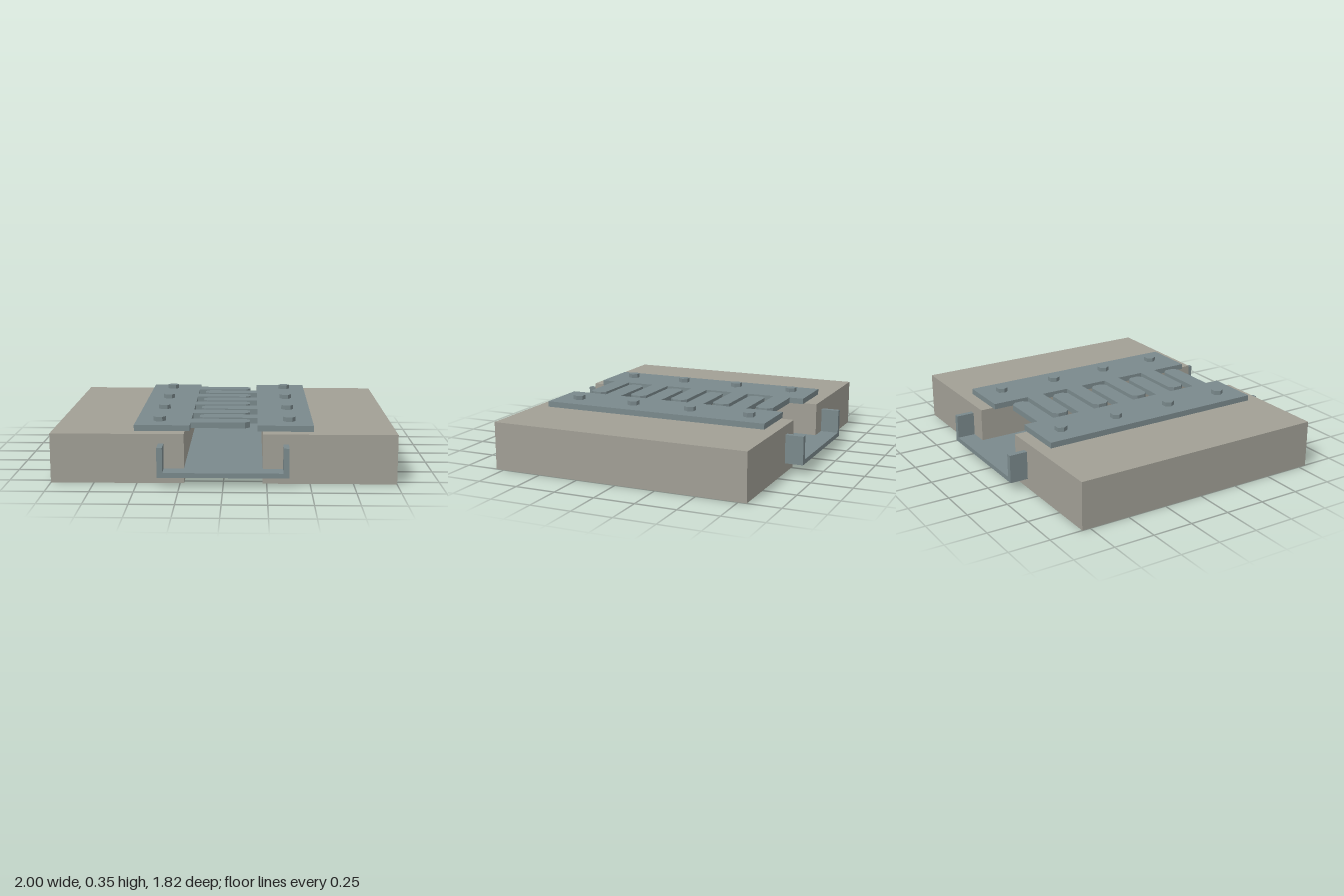
import * as THREE from 'three';

export function createModel() {
  const model = new THREE.Group();
  const concrete = new THREE.MeshStandardMaterial({ color: 0xa19f95 });
  concrete.name = 'concrete';
  const steel = new THREE.MeshStandardMaterial({ color: 0x7a898c });
  steel.name = 'steel';

  function add(name, geometry, material, x = 0, y = 0, z = 0) {
    const mesh = new THREE.Mesh(geometry, material);
    mesh.name = name;
    mesh.position.set(x, y, z);
    model.add(mesh);
    return mesh;
  }

  const pitch = 0.144, halfFinger = 0.055, chamfer = 0.028;
  const root = 0.197, tip = 0.152, outer = 0.522, halfLength = 0.72;

  // Comb plate drawn for the left side; side = -1 mirrors it
  function combPlate(side, fingerCentres) {
    const points = [[outer, -halfLength], [outer, halfLength], [root, halfLength]];
    for (const c of fingerCentres) {
      const a = c + halfFinger, b = c - halfFinger;
      points.push(
        [root, a], [-tip + chamfer, a], [-tip, a - chamfer],
        [-tip, b + chamfer], [-tip + chamfer, b], [root, b]
      );
    }
    points.push([root, -halfLength]);
    const shape = new THREE.Shape(points.map(([x, y]) => new THREE.Vector2(x * side, y)));
    const geometry = new THREE.ExtrudeGeometry(shape, { depth: 0.035, bevelEnabled: false });
    return geometry.rotateX(-Math.PI / 2);
  }

  // Interlocking plates: four fingers against five
  const four = [3, 1, -1, -3].map(i => i * pitch);
  const five = [4, 2, 0, -2, -4].map(i => i * pitch);
  add('leftCombPlate', combPlate(1, four), steel, 0, 0.29, 0);
  add('rightCombPlate', combPlate(-1, five), steel, 0, 0.29, 0);

  const slab = new THREE.BoxGeometry(0.773, 0.29, 1.6);
  const bolt = new THREE.CylinderGeometry(0.037, 0.037, 0.026, 6).toNonIndexed();
  bolt.rotateY(Math.PI / 6);
  bolt.computeVertexNormals();

  for (const side of [1, -1]) {
    const label = side > 0 ? 'left' : 'right';
    add(label + 'Slab', slab, concrete, side * 0.6135, 0.145, 0);
    // Hexagonal bolt heads
    for (const z of [-0.575, -0.192, 0.192, 0.575]) {
      add(label + 'Bolt', bolt, steel, side * 0.384, 0.338, z);
    }
  }

  // Drainage trough running under the joint
  const trough = new THREE.Shape([
    [-0.376, 0.06], [0.376, 0.06], [0.376, 0.233], [0.344, 0.233],
    [0.344, 0.088], [-0.344, 0.088], [-0.344, 0.233], [-0.376, 0.233]
  ].map(([x, y]) => new THREE.Vector2(x, y)));
  add('drainTrough', new THREE.ExtrudeGeometry(trough, { depth: 1.824, bevelEnabled: false }),
    steel, 0, 0, -0.912);

  return model;
}
